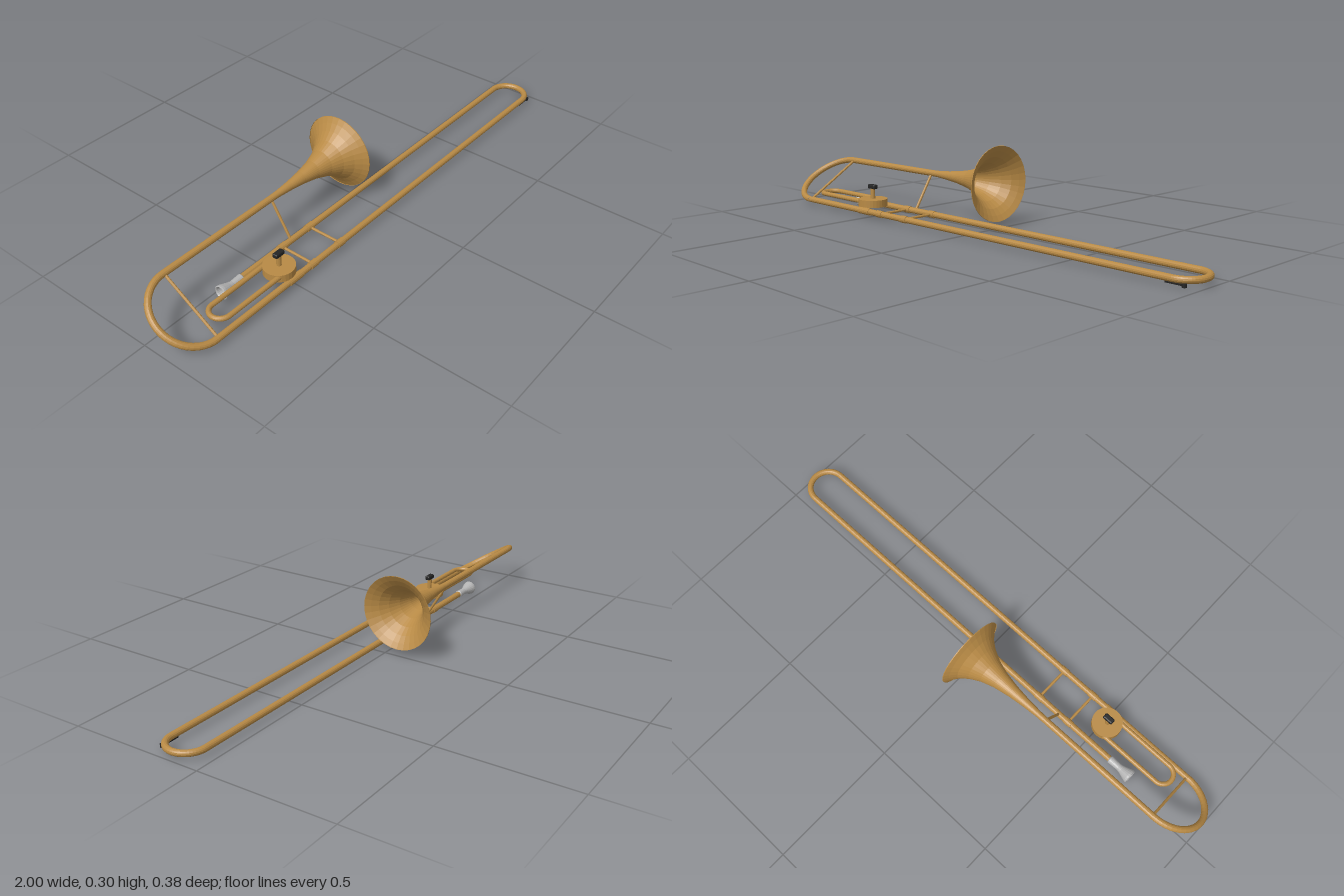
import * as THREE from 'three';
import { RoundedBoxGeometry } from 'three/addons/geometries/RoundedBoxGeometry.js';

const V = (x, y, z) => new THREE.Vector3(x, y, z);

export function createModel() {
  const model = new THREE.Group();
  model.name = 'trombone';
  const mat = (color, extra = {}) =>
    new THREE.MeshStandardMaterial({ color, flatShading: true, ...extra });
  const brass = mat(0xb88a45);
  const brassThin = mat(0xb88a45, { side: THREE.DoubleSide });
  const silver = mat(0xb4b4b4, { side: THREE.DoubleSide });
  const black = mat(0x242424);

  const add = (name, geometry, material = brass) => {
    const mesh = new THREE.Mesh(geometry, material);
    mesh.name = name;
    model.add(mesh);
    return mesh;
  };

  // Straight round bar between two points
  const rod = (name, a, b, r, material = brass, sides = 14) => {
    const dir = b.clone().sub(a);
    const mesh = add(name, new THREE.CylinderGeometry(r, r, dir.length(), sides), material);
    mesh.position.copy(a).add(b).multiplyScalar(0.5);
    mesh.quaternion.setFromUnitVectors(V(0, 1, 0), dir.normalize());
    return mesh;
  };

  // Half-circle tube joining two points, bulging towards x * side
  const bow = (name, a, b, r, side) => {
    const u = a.clone().sub(b);
    const radius = u.length() / 2;
    u.normalize();
    const v = V(side, 0, 0);
    const mesh = add(name, new THREE.TorusGeometry(radius, r, 14, 24, Math.PI));
    mesh.quaternion.setFromRotationMatrix(
      new THREE.Matrix4().makeBasis(u, v, u.clone().cross(v)));
    mesh.position.copy(a).add(b).multiplyScalar(0.5);
  };

  // Surface of revolution whose axis runs along +x; profile is [x, radius]
  const turned = (name, profile, y, z, sides, material) => {
    const pts = profile.map(([x, r]) => new THREE.Vector2(r, x));
    const mesh = add(name, new THREE.LatheGeometry(pts, sides), material);
    mesh.rotation.z = -Math.PI / 2;
    mesh.position.set(0, y, z);
  };

  const bellY = 0.165, bellZ = -0.05;
  const slideY = 0.027, innerZ = 0.036, outerZ = 0.174;
  const tubeR = 0.0115;

  // Flared bell
  turned('bell', [
    [-0.36, 0.012], [-0.33, 0.0125], [-0.27, 0.017], [-0.21, 0.024], [-0.15, 0.035],
    [-0.1, 0.051], [-0.06, 0.072], [-0.03, 0.096], [-0.012, 0.119], [0, 0.138],
    [0.001, 0.14], [-0.002, 0.14],
  ], bellY, bellZ, 32, brassThin);

  // Bell tube, rear bow and the lower tube it returns into
  const rearX = -0.857;
  rod('bellTube', V(rearX, bellY, bellZ), V(-0.35, bellY, bellZ), 0.012);
  bow('rearBow', V(rearX, bellY, bellZ), V(rearX, slideY, outerZ), 0.012, -1);

  // Long slide
  const frontX = 0.92;
  rod('outerSlideTube', V(rearX, slideY, outerZ), V(frontX, slideY, outerZ), tubeR);
  rod('innerSlideTube', V(-0.62, slideY, innerZ), V(frontX, slideY, innerZ), tubeR);
  bow('slideBow', V(frontX, slideY, outerZ), V(frontX, slideY, innerZ), tubeR, 1);

  // Cross braces with collars on both slide tubes
  for (const x of [-0.41, -0.27]) {
    rod('slideBrace', V(x, slideY, innerZ), V(x, slideY, outerZ), 0.005, brass, 10);
    for (const z of [innerZ, outerZ])
      rod('slideCollar', V(x - 0.016, slideY, z), V(x + 0.016, slideY, z), 0.0135);
  }
  rod('valveCollar', V(-0.53, slideY, outerZ), V(-0.47, slideY, outerZ), 0.0135);
  rod('rearBrace', V(-0.853, bellY, bellZ), V(-0.853, slideY, outerZ), 0.005, brass, 10);
  rod('bellBrace', V(-0.365, bellY, bellZ), V(-0.365, slideY, innerZ), 0.005, brass, 10);

  // Rotary valve with stem and thumb paddle
  const valveX = -0.518, valveZ = 0.121;
  rod('valveBody', V(valveX, 0.039, valveZ), V(valveX, 0.067, valveZ), 0.056, brass, 28);
  rod('valveStem', V(valveX, 0.066, valveZ), V(valveX, 0.108, valveZ), 0.009);
  add('thumbPaddle', new RoundedBoxGeometry(0.04, 0.017, 0.021, 2, 0.005), black)
    .position.set(valveX, 0.1135, valveZ);

  // Valve loop
  const loopX = -0.782, loopY = 0.057, loopR = 0.009;
  const loopZ = [0.078, 0.155];
  for (const z of loopZ)
    rod('valveLoopTube', V(loopX, loopY, z), V(valveX - 0.02, loopY, z), loopR);
  bow('valveLoopBow', V(loopX, loopY, loopZ[0]), V(loopX, loopY, loopZ[1]), loopR, -1);

  // Mouthpiece: inside of the cup, rim, then the shank
  turned('mouthpiece', [
    [-0.655, 0.004], [-0.67, 0.012], [-0.702, 0.02], [-0.706, 0.023], [-0.704, 0.0265],
    [-0.696, 0.0255], [-0.665, 0.015], [-0.652, 0.0125], [-0.612, 0.0145], [-0.608, 0.011],
  ], slideY, innerZ, 20, silver);

  // Water key under the slide bow
  add('waterKeyLever', new THREE.BoxGeometry(0.07, 0.005, 0.008), black)
    .position.set(0.93, 0.0135, outerZ);
  rod('waterKeyPad', V(0.96, 0.007, outerZ), V(0.96, 0.018, outerZ), 0.0075, black, 12);
  rod('waterKeyMount', V(0.905, 0.011, outerZ), V(0.905, 0.02, outerZ), 0.004, black, 8);

  return model;
}
